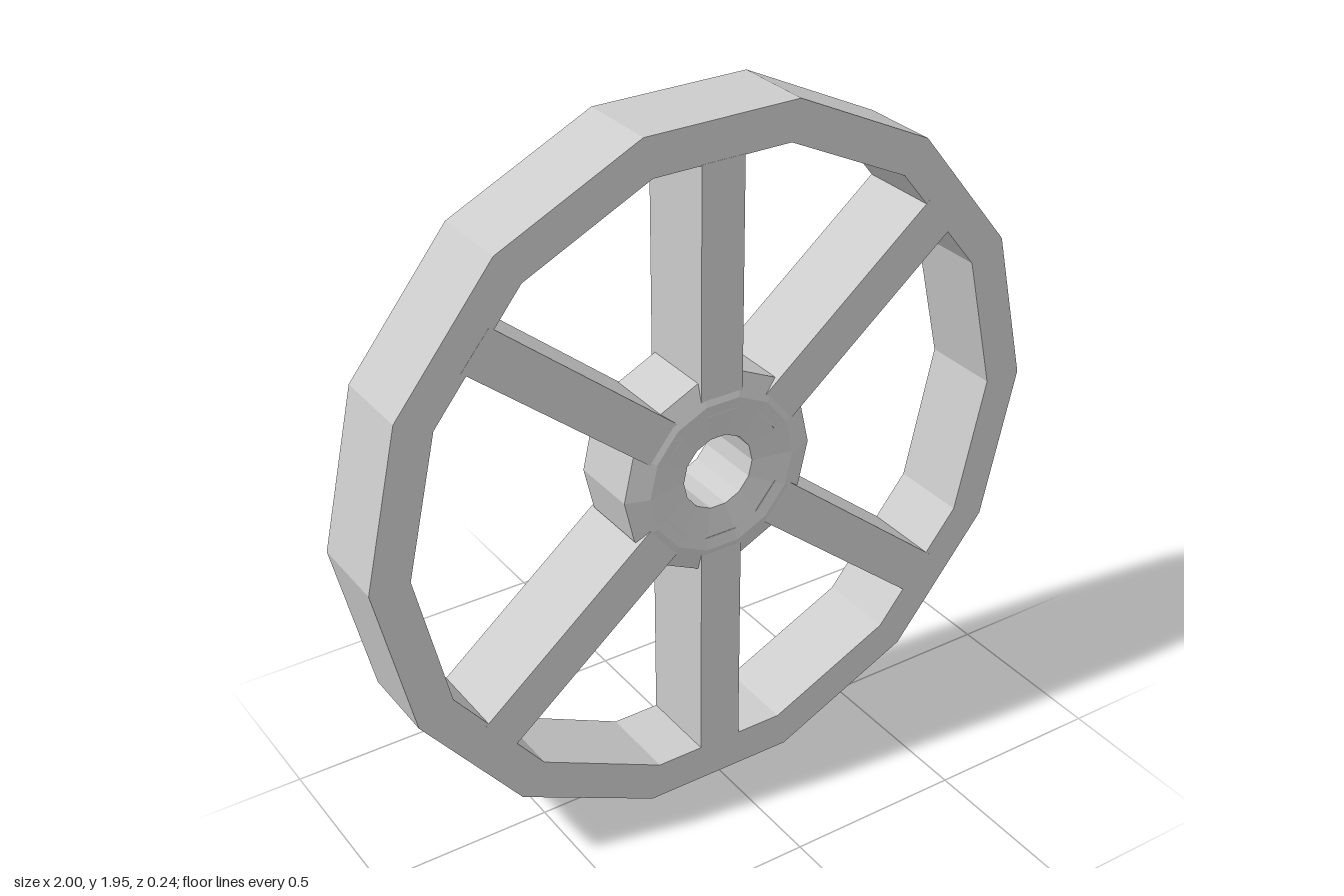
import * as THREE from 'three';

const SIDES = 14;
const CENTER_Y = Math.cos(Math.PI / SIDES); // the wheel rests on a flat side

const material = new THREE.MeshStandardMaterial({ color: 0xcccccc, flatShading: true });

// Faceted ring around the z axle from a closed [radius, z] profile, with a corner on +x
function ring(name, profile) {
  const points = [...profile, profile[0]].map(([r, z]) => new THREE.Vector2(r, z));
  const geometry = new THREE.LatheGeometry(points, SIDES, Math.PI / 2);
  geometry.rotateX(Math.PI / 2);
  const mesh = new THREE.Mesh(geometry, material);
  mesh.name = name;
  return mesh;
}

// Square-edged bar running outwards from inside the hub
function spoke(angle, end) {
  const start = 0.18;
  const geometry = new THREE.BoxGeometry(end - start, 0.125, 0.231);
  geometry.translate((start + end) / 2, 0, 0);
  const mesh = new THREE.Mesh(geometry, material);
  mesh.rotation.z = angle;
  mesh.name = 'spoke';
  return mesh;
}

export function createModel() {
  const wheel = new THREE.Group();
  wheel.name = 'wheel';

  // Flat-sided outer rim
  wheel.add(ring('rim', [[1, -0.115], [1, 0.115], [0.89, 0.115], [0.89, -0.115]]));

  // Hub with bevelled edges, dished faces and an axle hole
  wheel.add(ring('hub', [
    [0.285, -0.1], [0.285, 0.1], [0.22, 0.121], [0.106, 0.1],
    [0.106, -0.1], [0.22, -0.121],
  ]));

  // Two upright spokes and four diagonal ones
  const tilt = THREE.MathUtils.degToRad(39.4);
  for (const s of [1, -1]) {
    wheel.add(spoke(s * Math.PI / 2, 0.87));
    wheel.add(spoke(s * tilt, 0.884));
    wheel.add(spoke(Math.PI - s * tilt, 0.884));
  }

  wheel.position.y = CENTER_Y;
  const model = new THREE.Group();
  model.name = 'spokedWheel';
  model.add(wheel);
  return model;
}
